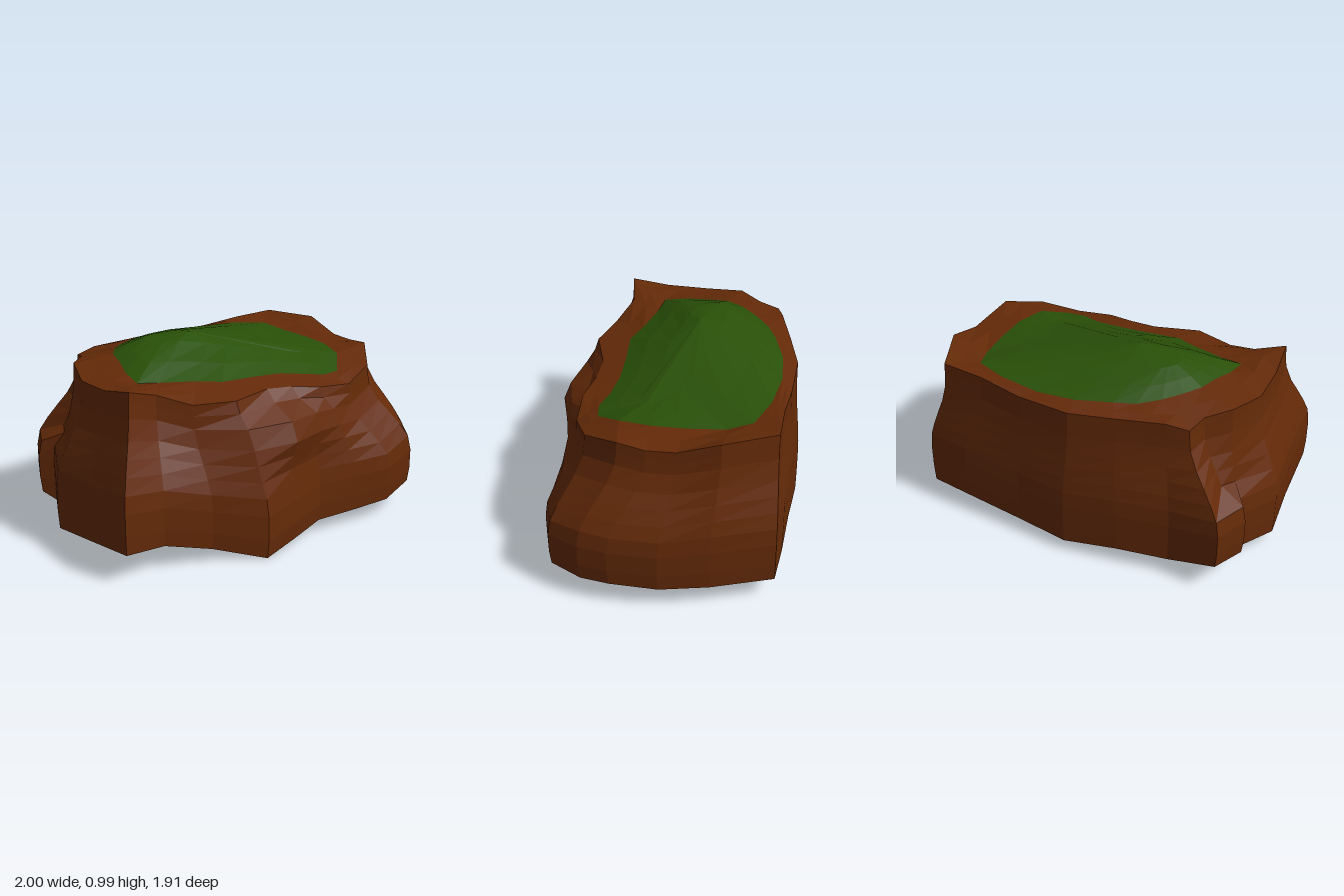
import * as THREE from 'three';

// Matching outlines, [x, z, y], starting at the front corner and going round via the left.
const foot = [
  [-0.38, 0.95, 0.15], [-0.22, 0.79, 0.13], [0, 0.68, 0.07], [0.27, 0.62, 0], [0.4, 0.47, 0.04], [0.52, 0.3, 0.07],
  [0.7, 0.18, 0.08], [0.88, 0.05, 0.09], [1, -0.12, 0.13], [0.97, -0.3, 0.13], [0.9, -0.43, 0.13], [0.75, -0.62, 0.12],
  [0.56, -0.78, 0.12], [0.29, -0.96, 0.12], [0.1, -0.84, 0.11], [-0.17, -0.65, 0.08], [-0.4, -0.5, 0.06], [-0.6, -0.3, 0.09],
  [-0.78, -0.1, 0.09], [-1, 0.05, 0.16], [-0.95, 0.23, 0.15], [-0.87, 0.24, 0.11], [-0.8, 0.5, 0.07], [-0.6, 0.7, 0.1],
];
const rim = [
  [-0.38, 0.76, 0.89], [-0.27, 0.64, 0.84], [-0.1, 0.6, 0.78], [0.1, 0.52, 0.78], [0.24, 0.32, 0.78], [0.36, 0.24, 0.77],
  [0.5, 0.18, 0.75], [0.65, 0.05, 0.73], [0.75, -0.13, 0.78], [0.74, -0.35, 0.84], [0.67, -0.47, 0.82], [0.58, -0.58, 0.82],
  [0.45, -0.74, 0.88], [0.2, -0.87, 0.88], [0.02, -0.74, 0.87], [-0.17, -0.62, 0.84], [-0.4, -0.46, 0.84], [-0.55, -0.28, 0.85],
  [-0.7, -0.09, 0.86], [-0.77, 0, 0.84], [-0.73, 0.1, 0.86], [-0.74, 0.25, 0.87], [-0.66, 0.45, 0.84], [-0.52, 0.62, 0.85],
];
const turf = [
  [-0.38, 0.5, 0.85], [-0.28, 0.45, 0.84], [-0.1, 0.38, 0.83], [0.02, 0.35, 0.82], [0.17, 0.22, 0.81], [0.3, 0.12, 0.8],
  [0.42, 0.06, 0.78], [0.52, 0.03, 0.77], [0.59, -0.04, 0.77], [0.59, -0.2, 0.82], [0.52, -0.35, 0.83], [0.42, -0.48, 0.83],
  [0.29, -0.62, 0.83], [0.18, -0.69, 0.85], [0, -0.64, 0.86], [-0.2, -0.53, 0.86], [-0.35, -0.4, 0.87], [-0.46, -0.25, 0.88],
  [-0.52, -0.15, 0.88], [-0.55, -0.03, 0.89], [-0.56, 0.08, 0.9], [-0.55, 0.18, 0.9], [-0.5, 0.28, 0.89], [-0.45, 0.4, 0.87],
];
const N = foot.length;

// Blend every point of one ring toward another; ty is the share for height.
const blend = (a, b, t, ty = t) => a.map((p, i) => {
  const q = b[i];
  return [p[0] + (q[0] - p[0]) * t, p[1] + (q[1] - p[1]) * t, p[2] + (q[2] - p[2]) * ty];
});
const point = (x, z, y) => foot.map(() => [x, z, y]);

// Skin a stack of rings, ordered so the faces look outward.
function skin(rings) {
  const pos = [], index = [];
  rings.forEach(r => r.forEach(([x, z, y]) => pos.push(x, y, z)));
  for (let k = 0; k < rings.length - 1; k++) {
    for (let i = 0; i < N; i++) {
      const a = k * N + i, b = k * N + (i + 1) % N;
      index.push(a, b, b + N, a, b + N, a + N);
    }
  }
  const g = new THREE.BufferGeometry();
  g.setAttribute('position', new THREE.Float32BufferAttribute(pos, 3));
  g.setIndex(index);
  const flat = g.toNonIndexed();
  flat.computeVertexNormals();
  return flat;
}

// Side wall: [height fraction, bulge toward the foot outline, bulge on the front overhang].
const levels = [
  [0, 0.96, 0.96], [0.12, 1, 1], [0.28, 1, 0.97], [0.4, 0.93, 0.9], [0.5, 0.74, 0.84], [0.6, 0.51, 0.9],
  [0.7, 0.27, 0.98], [0.83, 0.06, 0.8], [0.92, 0.02, 0.25], [1, 0, 0],
];
const overhang = { 3: 0.4, 4: 1, 5: 1, 6: 0.4 };
const notch = { 20: 0.6, 21: 0.7 }; // hollow above the spur
function wallRing([f, w, front]) {
  return foot.map((p, i) => {
    const q = rim[i];
    let bulge = w + (front - w) * (overhang[i] ?? 0);
    if (f > 0.45) bulge *= notch[i] ?? 1;
    return [q[0] + (p[0] - q[0]) * bulge, q[1] + (p[1] - q[1]) * bulge, p[2] + (q[2] - p[2]) * f];
  });
}

// Long crest of the mound, sloping down to the left.
const crest = turf.map(([px]) => {
  const x = THREE.MathUtils.clamp(px * 0.7, -0.36, 0.35);
  return [x, -0.05 - 0.42 * x, 0.985 - 0.26 * Math.max(0, x + 0.18) - 0.06 * Math.max(0, -0.18 - x)];
});

export function createModel() {
  const earth = new THREE.MeshStandardMaterial({ color: 0x642a08 });
  earth.name = 'earth brown';
  const green = new THREE.MeshStandardMaterial({ color: 0x295008 });
  green.name = 'grass green';

  const group = new THREE.Group();
  group.name = 'grassyRock';
  const add = (name, rings, material) => {
    const mesh = new THREE.Mesh(skin(rings), material);
    mesh.name = name;
    group.add(mesh);
  };

  const walls = levels.map(wallRing);
  const belly = point(0, 0, 0.125);
  add('underside', [belly, blend(walls[0], belly, 0.5), walls[0]], earth);
  add('rockWall', walls, earth);
  add('rockShoulder', [rim, blend(rim, turf, 0.5), turf], earth);

  // Low grassy mound
  add('grassTop', [turf, blend(turf, crest, 0.35, 0.45), blend(turf, crest, 0.75, 0.87), point(-0.18, 0.025, 0.985)], green);
  return group;
}
